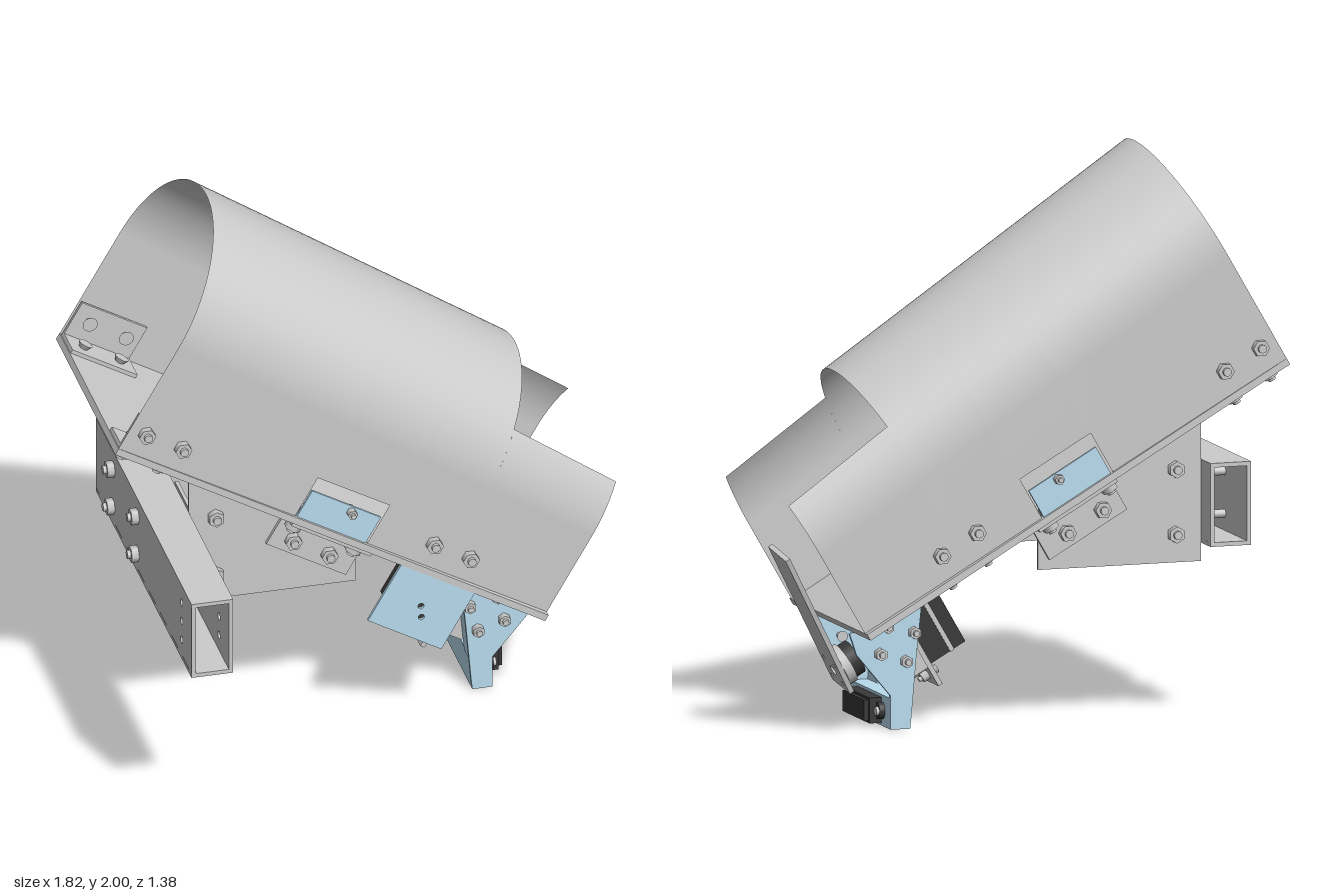
import * as THREE from 'three';

const grey = new THREE.MeshStandardMaterial({ color: 0xcccccc });
const sheetGrey = new THREE.MeshStandardMaterial({ color: 0xcccccc, side: THREE.DoubleSide });
const blue = new THREE.MeshStandardMaterial({ color: 0xb8dcee });
const black = new THREE.MeshStandardMaterial({ color: 0x383838 });

function add(parent, name, geo, mat, x = 0, y = 0, z = 0) {
  const m = new THREE.Mesh(geo, mat);
  m.name = name;
  m.position.set(x, y, z);
  parent.add(m);
  return m;
}

// Box given by its min and max corners
function box(parent, name, a, b, mat = grey) {
  const s = a.map((v, i) => Math.abs(b[i] - v));
  const c = a.map((v, i) => (b[i] + v) / 2);
  return add(parent, name, new THREE.BoxGeometry(...s), mat, ...c);
}

// Flat plate in the xy plane, centred on depth z, with round holes [x, y, r]
function plate(parent, name, pts, z, t, mat = grey, holes = []) {
  const shape = new THREE.Shape(pts.map(p => new THREE.Vector2(...p)));
  for (const [x, y, r] of holes) shape.holes.push(new THREE.Path().absarc(x, y, r, 0, Math.PI * 2, true));
  const geo = new THREE.ExtrudeGeometry(shape, { depth: t, bevelEnabled: false, curveSegments: 16 });
  geo.translate(0, 0, -t / 2);
  return add(parent, name, geo, mat, 0, 0, z);
}

// Hex nut outside, shaft through, button head inside; dir points outwards
function bolt(parent, pos, dir, grip = 0.04, r = 0.03) {
  const g = new THREE.Group();
  g.name = 'bolt';
  g.position.set(...pos);
  g.quaternion.setFromUnitVectors(new THREE.Vector3(0, 1, 0), new THREE.Vector3(...dir));
  add(g, 'nut', new THREE.CylinderGeometry(r, r, 0.026, 6), grey, 0, 0.013);
  add(g, 'shaft', new THREE.CylinderGeometry(r * 0.5, r * 0.5, grip + 0.038, 12), grey, 0, 0.019 - grip / 2);
  add(g, 'buttonHead', new THREE.CylinderGeometry(r * 0.9, r * 0.55, 0.018, 16), grey, 0, -grip - 0.009).rotation.x = Math.PI;
  parent.add(g);
}

// Chute cross-section along its length: straight sides, then a semicircle
const LEN = 1.787;
const axisHeight = u => 0.45 - 0.105 * u / LEN;
const radius = u => 0.413 - 0.023 * u / LEN;

function shellHalf(u0, u1, bottom, angleAt, side) {
  const pos = [], idx = [], nu = 6, na = 24, row = na + 2;
  for (let i = 0; i <= nu; i++) {
    const u = u0 + (u1 - u0) * i / nu, c = axisHeight(u), r = radius(u);
    pos.push(u, bottom, side * r);
    for (let j = 0; j <= na; j++) {
      const a = angleAt(u) * j / na;
      pos.push(u, c + r * Math.sin(a), side * r * Math.cos(a));
    }
  }
  for (let i = 0; i < nu; i++) for (let j = 0; j < row - 1; j++) {
    const a = i * row + j, b = a + row;
    if (side > 0) idx.push(a, b, a + 1, b, b + 1, a + 1);
    else idx.push(a, a + 1, b, b, a + 1, b + 1);
  }
  const g = new THREE.BufferGeometry();
  g.setAttribute('position', new THREE.Float32BufferAttribute(pos, 3));
  g.setIndex(idx);
  g.computeVertexNormals();
  return g;
}

function buildChute(chute) {
  const top = () => Math.PI / 2;
  const lip = u => Math.asin((0.589 - 0.043 * (u - 1.34) / 0.447 - axisHeight(u)) / radius(u));
  box(chute, 'basePlate', [0, -0.005, -0.415], [LEN, 0.02, 0.415]);
  for (const s of [1, -1]) {
    // Curved shell with a side window and an open front end
    for (const [a, b, v, f] of [[0, 0.737, 0, top], [0.737, 1.037, 0.183, top], [1.037, 1.34, 0, top], [1.34, LEN, 0, lip]])
      add(chute, 'shell', shellHalf(a, b, v, f, s), sheetGrey);

    // Angle brackets joining shell and base
    for (const u of [0.0, 1.2]) {
      const w = radius(u + 0.14) - 0.006;
      box(chute, 'cornerBracketFoot', [u + 0.005, 0.02, s * (w - 0.13)], [u + 0.275, 0.034, s * w]);
      box(chute, 'cornerBracketSide', [u + 0.005, 0.02, s * (w - 0.012)], [u + 0.275, 0.165, s * w]);
      for (const d of [0.065, 0.215]) {
        bolt(chute, [u + d, 0.107, s * (w + 0.006)], [0, 0, s], 0.02);
        bolt(chute, [u + d, -0.005, s * (w - 0.075)], [0, -1, 0], 0.04);
      }
    }

    // Window tab
    box(chute, 'windowTab', [0.745, 0.0, s * 0.393], [1.03, 0.13, s * 0.403], blue);
    box(chute, 'windowTabFoot', [0.745, 0.02, s * 0.29], [1.03, 0.03, s * 0.4], blue);
    bolt(chute, [0.919, 0.109, s * 0.403], [0, 0, s], 0.012, 0.018);

    // Hanger bracket between base and gusset
    box(chute, 'hangerFoot', [0.74, -0.018, s * 0.306], [1.07, -0.005, s * 0.41]);
    box(chute, 'hangerSide', [0.74, -0.15, s * 0.306], [1.07, -0.005, s * 0.32]);
    for (const u of [0.77, 1.02]) bolt(chute, [u, -0.018, s * 0.365], [0, -1, 0], 0.05);
    for (const u of [0.82, 0.97]) bolt(chute, [u, -0.1, s * 0.32], [0, 0, s], 0.03);
    bolt(chute, [1.63, -0.005, s * 0.19], [0, -1, 0], 0.025);
  }

  // Hanging side plate
  plate(chute, 'sidePlate', [[1.19, -0.245], [1.495, -0.245], [1.495, 0], [1.19, 0]], 0.405, 0.012, blue,
    [[1.34, -0.122, 0.011], [1.363, -0.16, 0.011]]);

  // Servo, mounting plate, shaft and hub
  box(chute, 'servoBody', [1.42, -0.31, -0.065], [1.68, -0.1, 0.065], black);
  box(chute, 'servoBand', [1.47, -0.313, -0.067], [1.485, -0.097, 0.067]);
  box(chute, 'servoPlate', [1.575, -0.38, -0.11], [1.592, -0.04, 0.11]);
  for (const s of [1, -1]) {
    box(chute, 'servoMount', [1.592, -0.3, s * 0.1], [1.7, -0.01, s * 0.115]);
    for (const v of [-0.34, -0.07]) bolt(chute, [1.592, v, s * 0.05], [1, 0, 0], 0.02, 0.018);
  }
  const hubs = [['servoShaft', 0.03, 1.68, 1.79, grey], ['hub', 0.065, 1.775, 1.815, black], ['horn', 0.075, 1.815, 1.848, grey]];
  for (const [name, r, a, b, mat] of hubs)
    add(chute, name, new THREE.CylinderGeometry(r, r, b - a, 24), mat, (a + b) / 2, -0.154, 0).rotation.z = Math.PI / 2;

  // Swinging arm
  const arm = new THREE.Group();
  arm.name = 'arm';
  arm.position.set(1.858, -0.154, 0);
  arm.rotation.x = -0.275;
  chute.add(arm);
  const holes = [[0, 0, 0.018]];
  for (let i = 0; i < 4; i++) {
    const a = Math.PI / 4 + i * Math.PI / 2;
    holes.push([0.058 * Math.cos(a), 0.058 * Math.sin(a), 0.008]);
  }
  plate(arm, 'paddle', [[-0.07, -0.075], [0.07, -0.075], [0.07, 0.535], [-0.07, 0.535]], 0, 0.018, grey, holes).rotation.y = -Math.PI / 2;
}

function buildBeam(frame) {
  // Hollow crossbeam, open at both ends
  const beam = new THREE.Group();
  beam.name = 'crossbeam';
  frame.add(beam);
  const face = [[-0.41, 0.615], [0.93, 0.615], [0.93, 0.91], [-0.41, 0.91]];
  const holes = [0.69, 0.765, 0.84].map(y => [0.79, y, 0.014]);
  for (const x of [-0.762, -0.628]) {
    const wall = plate(beam, 'beamWall', face, 0, 0.015, grey, holes);
    wall.rotation.y = -Math.PI / 2;
    wall.position.x = x;
  }
  for (const y of [0.615, 0.895]) box(beam, 'beamWall', [-0.77, y, -0.41], [-0.62, y + 0.015, 0.93]);

  for (const s of [1, -1]) {
    // Gusset plates and their angle brackets
    plate(frame, 'gusset', [[-0.62, 0.55], [-0.02, 0.55], [-0.02, 0.735], [-0.62, 1.075]], s * 0.3, 0.013);
    box(frame, 'beamBracketFoot', [-0.62, 0.6, s * 0.11], [-0.607, 0.925, s * 0.294]);
    box(frame, 'beamBracketSide', [-0.62, 0.6, s * 0.28], [-0.44, 0.925, s * 0.294]);
    for (const y of [0.69, 0.84]) bolt(frame, [-0.77, y, s * 0.17], [-1, 0, 0], 0.163);
    for (const y of [0.65, 0.88]) bolt(frame, [-0.525, y, s * 0.307], [0, 0, s], 0.03);
  }
}

function buildSensorMount(frame) {
  const side = [[0.375, 0.49], [0.645, 0.345], [0.62, 0.27], [0.495, 0.12], [0.495, 0.02], [0.48, 0.005], [0.435, 0.005], [0.42, 0.02], [0.4, 0.25]];
  for (const s of [1, -1]) {
    plate(frame, 'mountCheek', side, s * 0.215, 0.014, blue);
    for (const [x, y] of [[0.41, 0.34], [0.51, 0.365], [0.535, 0.27], [0.44, 0.24]])
      bolt(frame, [x, y, s * 0.222], [0, 0, s], 0.03, 0.022);
    // Rear web strips
    plate(frame, 'mountWeb', [[0.42, 0.1], [0.432, 0.1], [0.405, 0.44], [0.39, 0.44]], s * 0.165, 0.1, blue);
    add(frame, 'sensorEar', new THREE.CylinderGeometry(0.03, 0.03, 0.02, 20), black, 0.505, 0.055, s * 0.135).rotation.z = Math.PI / 2;
    add(frame, 'sensorScrew', new THREE.CylinderGeometry(0.016, 0.016, 0.03, 12), grey, 0.51, 0.055, s * 0.145).rotation.z = Math.PI / 2;
  }
  box(frame, 'mountFoot', [0.422, 0, -0.222], [0.495, 0.11, 0.222], blue);
  box(frame, 'sensor', [0.495, 0.01, -0.128], [0.54, 0.1, 0.128], black);
  box(frame, 'sensorWindow', [0.54, 0.018, -0.115], [0.556, 0.092, 0.115], black);
}

export function createModel() {
  const root = new THREE.Group();
  root.name = 'chuteAssembly';
  const frame = new THREE.Group();
  frame.name = 'frame';
  frame.position.z = -0.24;
  root.add(frame);

  // The chute slopes down by 30 degrees
  const chute = new THREE.Group();
  chute.name = 'chute';
  chute.position.set(-0.91, 1.25, 0);
  chute.rotation.z = -Math.PI / 6;
  frame.add(chute);

  buildChute(chute);
  buildBeam(frame);
  buildSensorMount(frame);
  return root;
}
